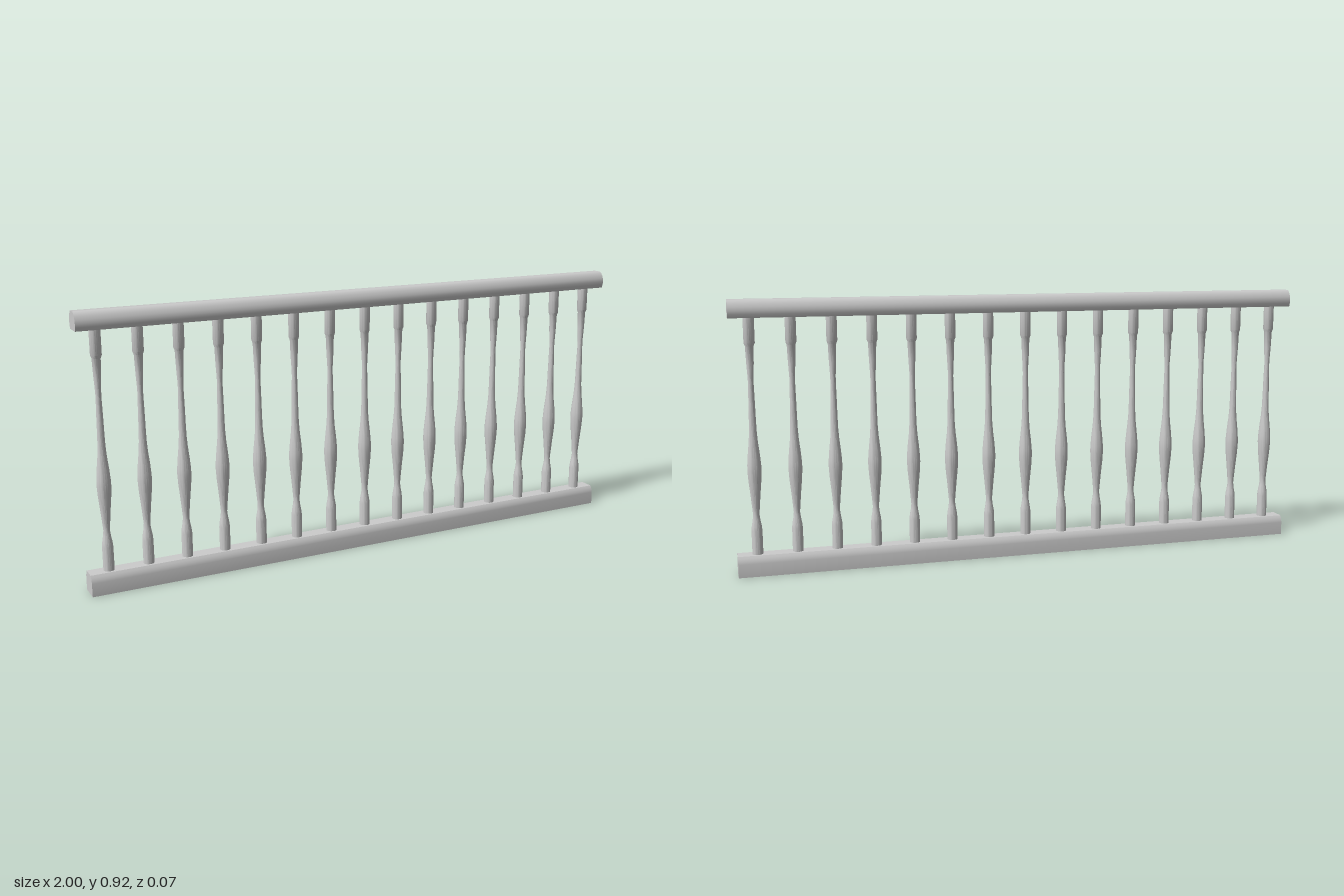
import * as THREE from 'three';
import { toCreasedNormals } from 'three/addons/utils/BufferGeometryUtils.js';

const LENGTH = 2;
const COUNT = 15;
const SPACING = LENGTH / COUNT;

const gray = new THREE.MeshStandardMaterial({ color: 0xcccccc });
gray.name = 'light gray';

// Sweeps half a cross-section ([z, y], bottom to top), mirrored in z, along x
function rail(name, half) {
  const outline = [...half, ...half.map(([z, y]) => [-z, y]).reverse()];
  const shape = new THREE.Shape(outline.map(([z, y]) => new THREE.Vector2(z, y)));
  const extruded = new THREE.ExtrudeGeometry(shape, { depth: LENGTH, bevelEnabled: false });
  extruded.translate(0, 0, -LENGTH / 2).rotateY(Math.PI / 2);
  const mesh = new THREE.Mesh(toCreasedNormals(extruded, 0.7), gray);
  mesh.name = name;
  return mesh;
}

// Turned spindle: [radius, y]
function balusterGeometry() {
  const profile = [
    [0.018, 0.065], [0.018, 0.15], [0.0165, 0.165], [0.0125, 0.187], [0.0105, 0.205],
    [0.0125, 0.23], [0.0165, 0.275], [0.021, 0.32], [0.023, 0.355], [0.0225, 0.375],
    [0.0195, 0.41], [0.015, 0.45], [0.0125, 0.485], [0.0115, 0.52], [0.0105, 0.58],
    [0.009, 0.645], [0.0095, 0.665], [0.012, 0.71], [0.014, 0.768],
    [0.018, 0.778], [0.018, 0.865],
  ].map(([r, y]) => new THREE.Vector2(r, y));
  return toCreasedNormals(new THREE.LatheGeometry(profile, 20), 0.6);
}

export function createModel() {
  const model = new THREE.Group();
  model.name = 'balustrade';

  // Bottom rail with rounded shoulders
  model.add(rail('bottomRail', [
    [0.036, 0], [0.036, 0.045], [0.034, 0.054], [0.030, 0.063], [0.025, 0.07],
  ]));

  // Handrail with rounded top
  model.add(rail('handrail', [
    [0.030, 0.861], [0.034, 0.873], [0.036, 0.884], [0.034, 0.896],
    [0.029, 0.907], [0.023, 0.915], [0.015, 0.92],
  ]));

  // Evenly spaced balusters
  const geometry = balusterGeometry();
  for (let i = 0; i < COUNT; i++) {
    const baluster = new THREE.Mesh(geometry, gray);
    baluster.name = `baluster${i + 1}`;
    baluster.position.x = (i - (COUNT - 1) / 2) * SPACING;
    model.add(baluster);
  }
  return model;
}
